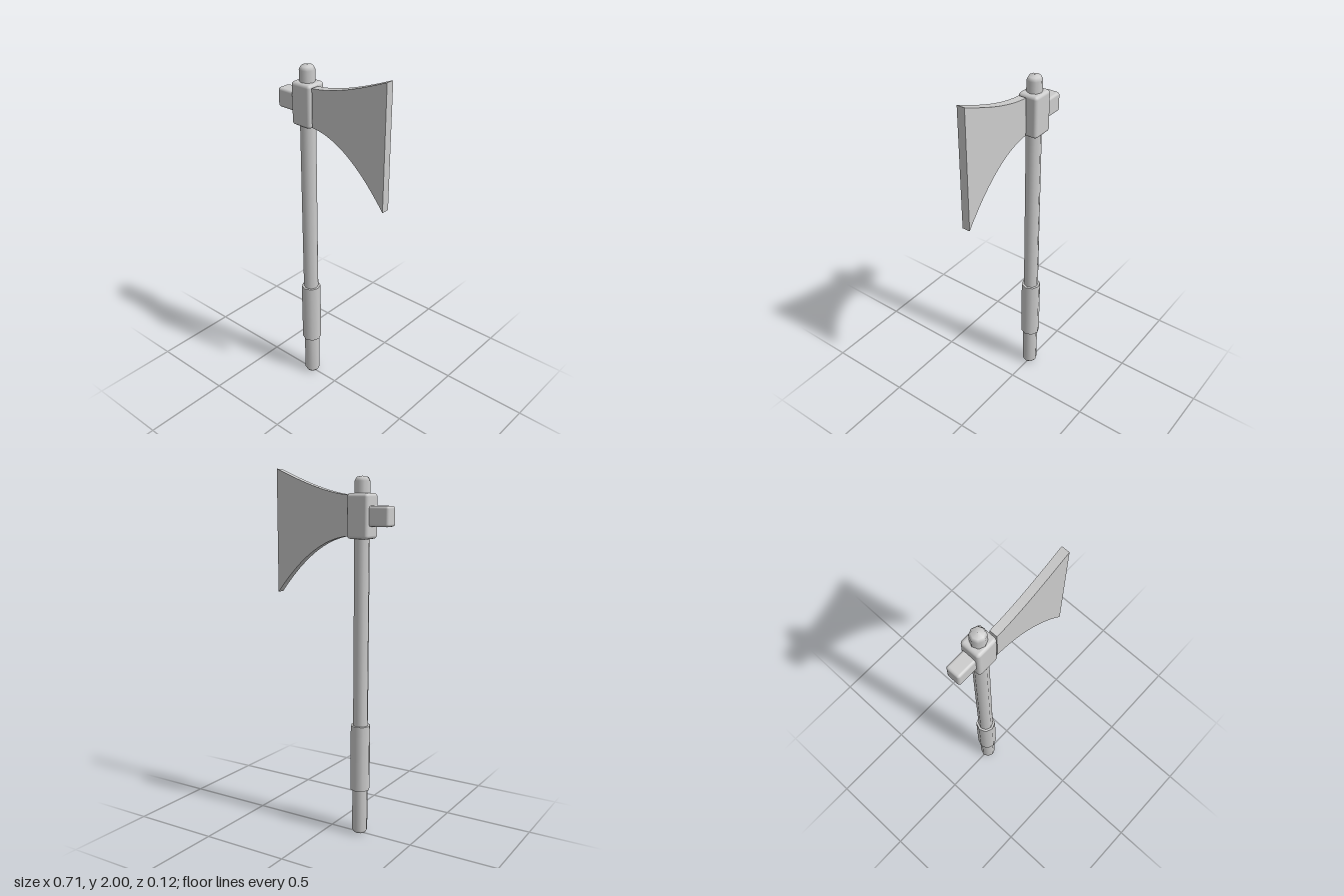
import * as THREE from 'three';
import { RoundedBoxGeometry } from 'three/addons/geometries/RoundedBoxGeometry.js';

const SHAFT_X = -0.183;

export function createModel() {
  const group = new THREE.Group();
  const steel = new THREE.MeshStandardMaterial({ color: 0xcccccc });
  steel.name = 'grey';

  const add = (name, geometry, x = 0, y = 0, z = 0) => {
    const mesh = new THREE.Mesh(geometry, steel);
    mesh.name = name;
    mesh.position.set(x, y, z);
    group.add(mesh);
  };
  const lathe = (points) =>
    new THREE.LatheGeometry(points.map(([r, y]) => new THREE.Vector2(r, y)), 8);

  // Eight-sided pole with rounded ends
  add('shaft', lathe([
    [0, 0], [0.032, 0.004], [0.044, 0.02], [0.044, 0.26], [0.042, 0.63],
    [0.042, 1.64], [0.042, 1.935], [0.032, 1.954], [0, 1.96],
  ]), SHAFT_X);

  // Thicker sleeve for the hand
  add('grip', new THREE.CylinderGeometry(0.055, 0.055, 0.37, 8), SHAFT_X, 0.445);

  // Block around the shaft and the hammer behind it
  add('collar', new RoundedBoxGeometry(0.127, 0.233, 0.116, 2, 0.018), SHAFT_X, 1.757);
  add('hammer', new RoundedBoxGeometry(0.135, 0.105, 0.082, 2, 0.014), -0.29, 1.758);

  // Flared blade with curved upper and lower edges
  const blade = new THREE.Shape();
  blade.moveTo(-0.112, 1.653);
  blade.bezierCurveTo(0.05, 1.64, 0.2, 1.53, 0.356, 1.325);
  blade.lineTo(0.356, 2.0);
  blade.bezierCurveTo(0.2, 1.935, 0.04, 1.872, -0.112, 1.862);
  blade.closePath();
  add('blade', new THREE.ExtrudeGeometry(blade, { depth: 0.045, bevelEnabled: false, curveSegments: 12 }));

  return group;
}
